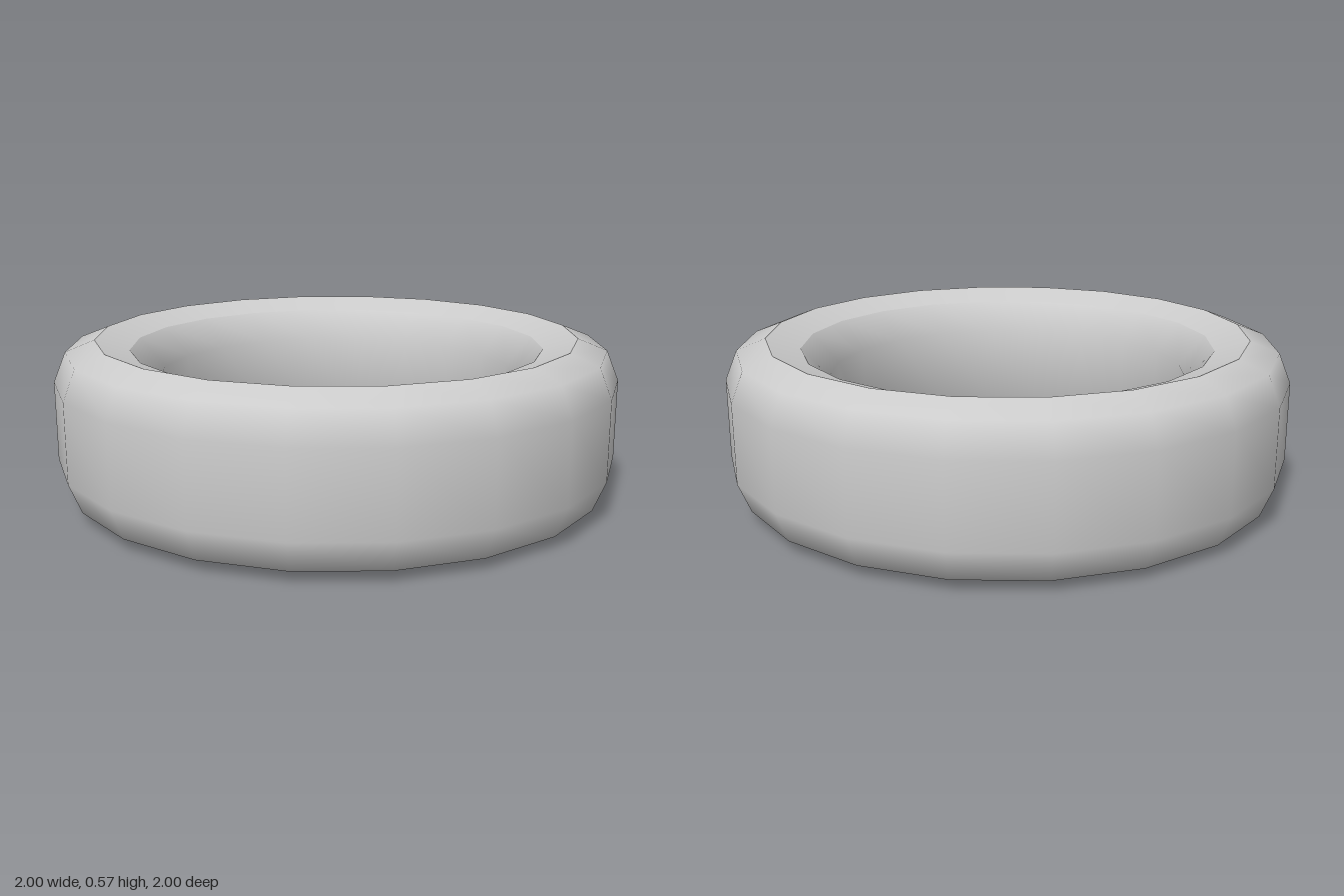
import * as THREE from 'three';

const SIDES = 20;

export function createModel() {
  const group = new THREE.Group();
  group.name = 'tyre';
  const material = new THREE.MeshStandardMaterial({ color: 0xcccccc });

  // Each smooth band is its own lathe, so the rim edges between bands stay sharp.
  const band = (name, profile) => {
    const points = profile.map(([r, y]) => new THREE.Vector2(r, y));
    const mesh = new THREE.Mesh(new THREE.LatheGeometry(points, SIDES), material);
    mesh.name = name;
    group.add(mesh);
  };

  // Outer tread with rounded shoulders
  band('tread', [[0.855, 0], [0.957, 0.04], [1, 0.145], [1, 0.425], [0.957, 0.53], [0.855, 0.57]]);
  // Side walls sloping gently towards the hole
  band('upperSidewall', [[0.855, 0.57], [0.735, 0.53]]);
  band('lowerSidewall', [[0.735, 0.04], [0.855, 0]]);
  // Inner wall with chamfered lips
  band('innerWall', [[0.735, 0.53], [0.64, 0.425], [0.64, 0.145], [0.735, 0.04]]);

  return group;
}
